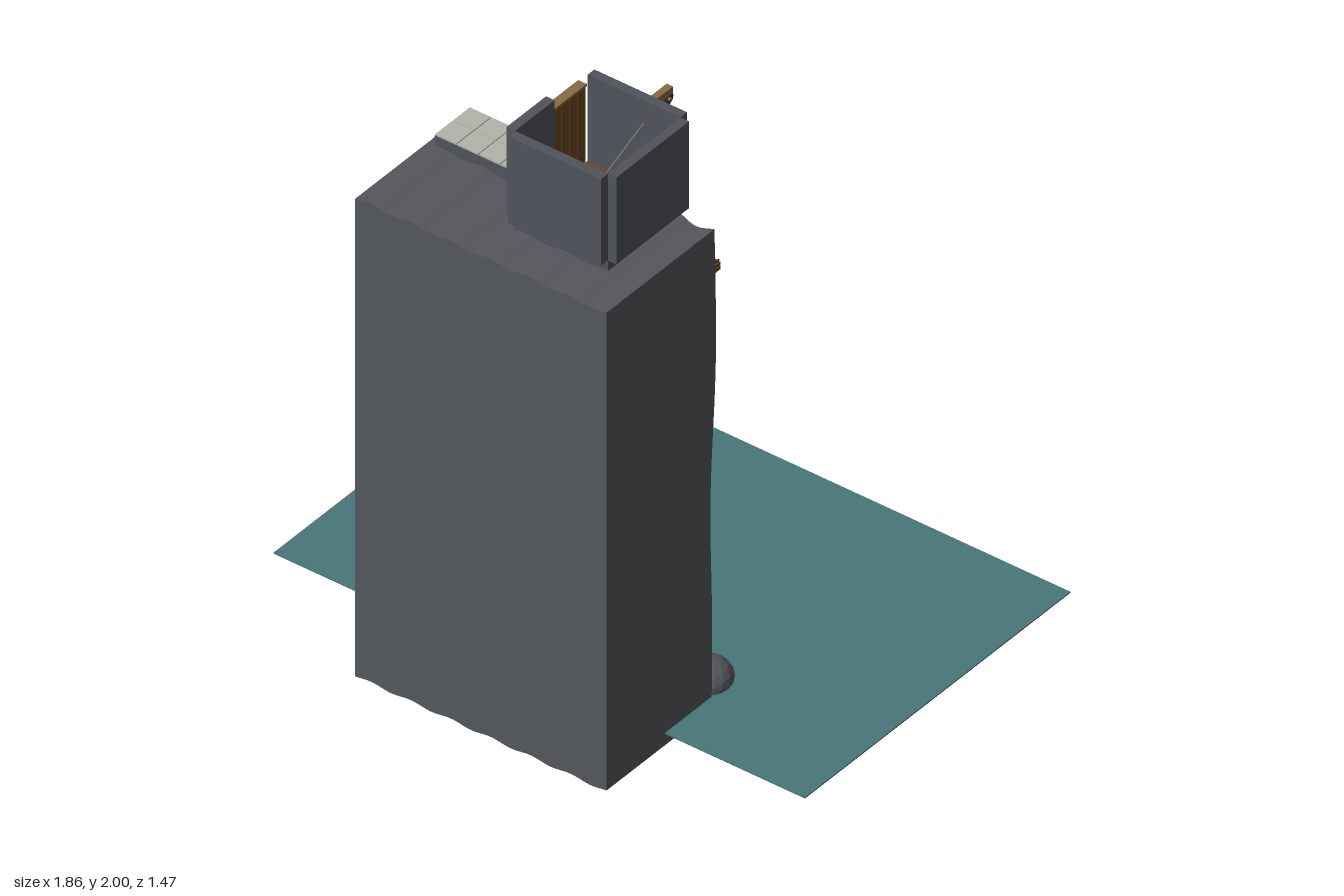
import * as THREE from 'three';

const mat = (name, color, extra = {}) => {
  const m = new THREE.MeshStandardMaterial({ color, ...extra });
  m.name = name;
  return m;
};

export function createModel() {
  const M = {
    rock: mat('cliff rock', 0x54575c),
    boulder: mat('boulder rock', 0x55585c, { flatShading: true }),
    stone: mat('tower stone', 0x50545a),
    water: mat('water', 0x4a7679, { side: THREE.DoubleSide }),
    tile: mat('pale tile', 0xb4b4ac),
    wood: mat('brown wood', 0x6b4720),
    timber: mat('light timber', 0x8a6a45),
    iron: mat('dark iron', 0x2c2d30),
    rope: mat('rope', 0x77716a),
  };
  const root = new THREE.Group();
  root.name = 'cliffTowerWithHoist';

  const group = (name) => {
    const g = new THREE.Group();
    g.name = name;
    root.add(g);
    return g;
  };
  const add = (parent, name, geo, material, x = 0, y = 0, z = 0) => {
    const m = new THREE.Mesh(geo, material);
    m.name = name;
    m.position.set(x, y, z);
    parent.add(m);
    return m;
  };
  // Box given by its limits on each axis
  const box = (parent, name, material, [x0, x1], [y0, y1], [z0, z1]) =>
    add(parent, name, new THREE.BoxGeometry(x1 - x0, y1 - y0, z1 - z0), material,
      (x0 + x1) / 2, (y0 + y1) / 2, (z0 + z1) / 2);
  // Round rod between two points
  const rod = (parent, name, material, a, b, r, sides = 8) => {
    const A = new THREE.Vector3(...a), B = new THREE.Vector3(...b);
    const d = B.clone().sub(A);
    const m = add(parent, name, new THREE.CylinderGeometry(r, r, d.length(), sides), material);
    m.position.copy(A).add(B).multiplyScalar(0.5);
    m.quaternion.setFromUnitVectors(new THREE.Vector3(0, 1, 0), d.normalize());
    return m;
  };

  // Water sheet
  box(root, 'water', M.water, [-0.93, 0.93], [0.05, 0.054], [-0.735, 0.47]);

  // Cliff block with a folded back face and gently rippled top and bottom
  const cliff = new THREE.BoxGeometry(0.88, 1.652, 0.49, 44, 40, 1);
  const p = cliff.attributes.position;
  for (let i = 0; i < p.count; i++) {
    const x = p.getX(i), y = p.getY(i);
    if (p.getZ(i) < 0) {
      const fold = Math.sin(x * 34 + 1.1 * Math.sin(y * 3)) * 0.5
        + Math.sin(x * 17 + y * 2.3 + 1) * 0.3 + Math.sin(y * 7 + x * 5) * 0.2;
      p.setZ(i, -0.245 + fold * 0.02);
    }
    if (Math.abs(y) > 0.825) p.setY(i, y + 0.004 * Math.sin(x * 45));
  }
  cliff.computeVertexNormals();
  add(root, 'cliff', cliff, M.rock, 0, 0.834, 0.49);

  // Boulders at the foot of the cliff
  const boulders = group('boulders');
  [[-0.373, 0.06, 0.215, 0.084, 0.058, 0.082],
    [-0.155, 0.05, 0.215, 0.05, 0.036, 0.05],
    [0.383, 0.062, 0.2, 0.073, 0.062, 0.08]].forEach(([x, y, z, a, b, c], i) => {
    const m = add(boulders, 'boulder', new THREE.IcosahedronGeometry(1, 2), M.boulder, x, y, z);
    m.scale.set(a, b, c);
    m.rotation.y = i * 0.2 - 0.2;
  });

  // Terrace slab with two rows of tiles
  const terrace = group('terrace');
  box(terrace, 'terraceSlab', M.stone, [-0.413, 0], [1.65, 1.695], [0.25, 0.41]);
  for (let i = 0; i < 5; i++) {
    for (let j = 0; j < 2; j++) {
      const x = -0.412 + i * 0.0762, z = 0.251 + j * 0.0795;
      box(terrace, 'tile', M.tile, [x, x + 0.0735], [1.695, 1.7], [z, z + 0.077]);
    }
  }

  // Tower: plinth, plank floor and four walls that leave the corners stepped
  const tower = group('tower');
  box(tower, 'plinth', M.stone, [0, 0.325], [1.64, 1.697], [0.25, 0.58]);
  box(tower, 'floor', M.wood, [0.001, 0.324], [1.697, 1.703], [0.251, 0.579]);
  box(tower, 'backWall', M.stone, [0, 0.325], [1.7, 2], [0.22, 0.25]);
  box(tower, 'frontWall', M.stone, [0, 0.325], [1.7, 2], [0.58, 0.612]);
  box(tower, 'rightWall', M.stone, [0.325, 0.355], [1.7, 2], [0.25, 0.58]);
  box(tower, 'leftWall', M.stone, [-0.03, 0], [1.7, 2], [0.4, 0.58]);

  // Plank door closing the gap in the left wall
  const door = group('door');
  for (let i = 0; i < 4; i++) {
    const z = 0.254 + i * 0.0365;
    box(door, 'doorPlank', M.wood, [-0.026, -0.004], [1.702, 1.962], [z, z + 0.0345]);
  }
  box(door, 'doorCap', M.timber, [-0.03, 0], [1.962, 1.97], [0.254, 0.4]);
  for (const y of [1.81, 1.945]) {
    box(door, 'hingeStrap', M.iron, [-0.034, -0.026], [y - 0.007, y + 0.007], [0.27, 0.4]);
  }

  // Hoist arm with brace and pulley
  const X = 0.195;
  const hoist = group('hoist');
  box(hoist, 'arm', M.timber, [X - 0.011, X + 0.011], [1.958, 1.982], [0.13, 0.225]);
  rod(hoist, 'brace', M.timber, [X, 1.83, 0.222], [X, 1.955, 0.15], 0.008);
  const wheel = add(hoist, 'pulley', new THREE.CylinderGeometry(0.02, 0.02, 0.014, 16), M.iron, X, 1.945, 0.143);
  wheel.rotation.z = Math.PI / 2;
  rod(hoist, 'pulleyAxle', M.timber, [X - 0.014, 1.945, 0.143], [X + 0.014, 1.945, 0.143], 0.006);

  // Winch inside the tower, with side frames, rope coils and crank
  const winch = group('winch');
  const WY = 1.80, WZ = 0.475;
  rod(winch, 'drum', M.timber, [0.125, WY, WZ], [0.265, WY, WZ], 0.02, 12);
  rod(winch, 'axle', M.iron, [0.105, WY, WZ], [0.305, WY, WZ], 0.005);
  for (const x of [0.12, 0.27]) {
    for (const s of [-1, 1]) {
      rod(winch, 'frameLeg', M.wood, [x, 1.7, WZ + s * 0.035], [x, WY + 0.01, WZ], 0.007, 6);
    }
  }
  for (let i = 0; i < 7; i++) {
    const coil = add(winch, 'ropeCoil', new THREE.TorusGeometry(0.022, 0.004, 6, 16), M.rope,
      0.14 + i * 0.0183, WY, WZ);
    coil.rotation.y = Math.PI / 2;
  }
  rod(winch, 'crankArm', M.iron, [0.303, WY, WZ], [0.303, WY + 0.04, WZ - 0.01], 0.005);
  rod(winch, 'crankHandle', M.timber, [0.296, WY + 0.04, WZ - 0.01], [0.32, WY + 0.04, WZ - 0.01], 0.006);
  rod(winch, 'windingRope', M.rope, [X, WY + 0.022, WZ], [X, 1.964, 0.143], 0.003, 6);

  // Chain of alternating links hanging over the water
  const chain = group('chain');
  const link = new THREE.TorusGeometry(0.0045, 0.0013, 4, 8);
  for (let y = 1.925, i = 0; y > 0.272; y -= 0.0125, i++) {
    const l = add(chain, 'chainLink', link, M.iron, X, y, 0.143);
    l.scale.y = 1.7;
    l.rotation.y = (i % 2) * Math.PI / 2;
  }

  // Cargo platform with runners, planks, slings and crates
  const cargo = group('cargoPlatform');
  for (let i = 0; i < 5; i++) {
    const x = 0.08 + i * 0.0462;
    box(cargo, 'platformPlank', M.wood, [x, x + 0.0435], [1.363, 1.374], [0.048, 0.202]);
  }
  for (const z of [0.062, 0.188]) {
    box(cargo, 'runner', M.wood, [0.08, 0.31], [1.35, 1.363], [z - 0.012, z + 0.012]);
  }
  for (const x of [0.085, 0.305]) {
    rod(cargo, 'edgeRod', M.iron, [x, 1.381, 0.05], [x, 1.381, 0.2], 0.003, 6);
    for (const z of [0.052, 0.198]) {
      rod(cargo, 'sling', M.iron, [x, 1.376, z], [X, 1.482, 0.143], 0.0022, 6);
    }
  }
  add(cargo, 'slingRing', new THREE.TorusGeometry(0.007, 0.0025, 6, 12), M.iron, X, 1.482, 0.143);
  box(cargo, 'crate', M.wood, [0.14, 0.185], [1.374, 1.42], [0.105, 0.158]);
  box(cargo, 'smallCrate', M.wood, [0.21, 0.25], [1.374, 1.405], [0.11, 0.155]);
  for (const z of [0.104, 0.159]) {
    box(cargo, 'crateBand', M.timber, [0.138, 0.187], [1.392, 1.4], [z - 0.002, z + 0.002]);
  }
  return root;
}
